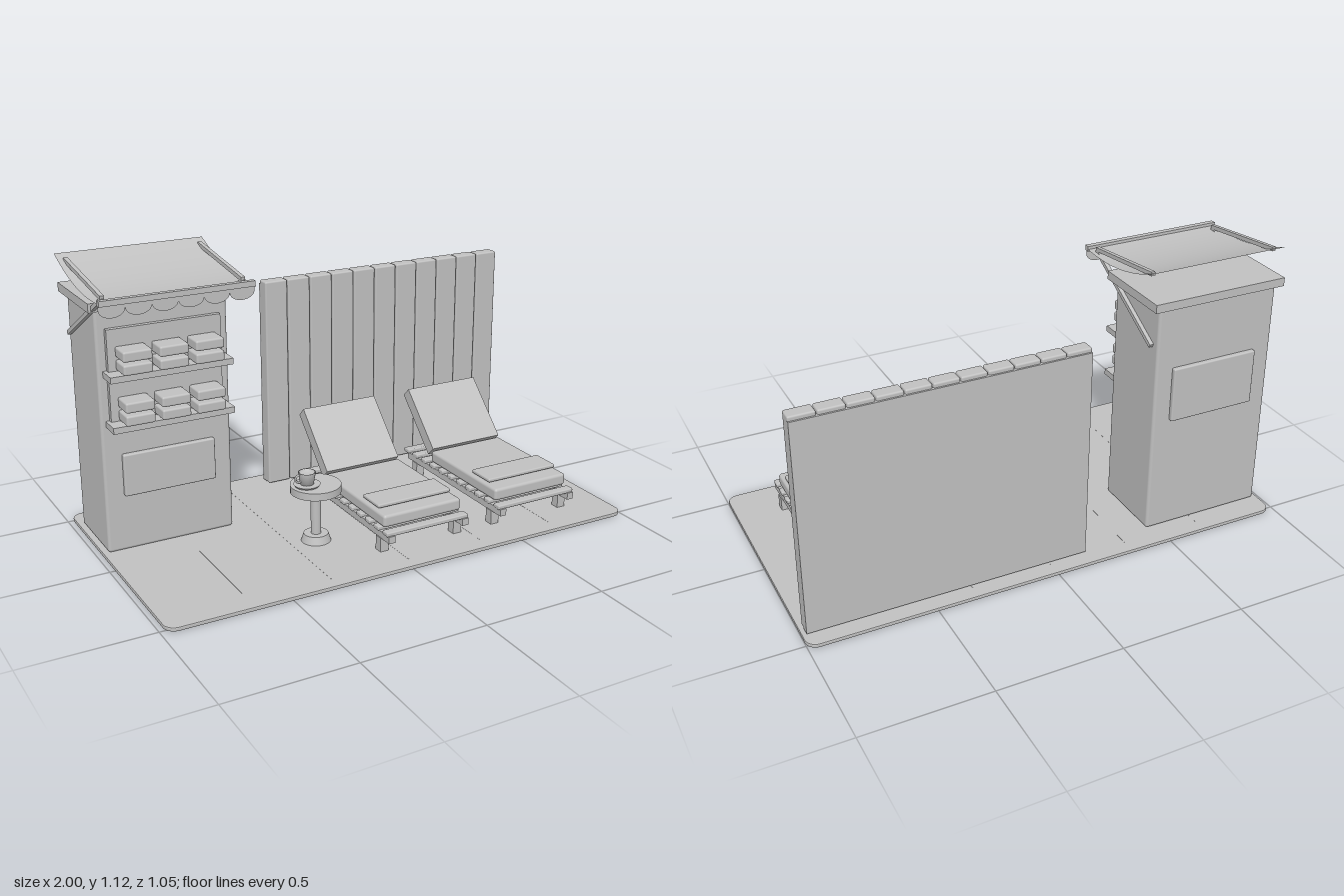
import * as THREE from 'three';
import { RoundedBoxGeometry } from 'three/addons/geometries/RoundedBoxGeometry.js';

const grey = new THREE.MeshStandardMaterial({ color: 0xc0c0c0, side: THREE.DoubleSide });
grey.name = 'plainGrey';

function add(parent, name, geometry, x = 0, y = 0, z = 0) {
  const mesh = new THREE.Mesh(geometry, grey);
  mesh.name = name;
  mesh.position.set(x, y, z);
  parent.add(mesh);
  return mesh;
}

// Box given by its extents; r > 0 rounds the edges
function box(parent, name, [x0, x1], [y0, y1], [z0, z1], r = 0) {
  const size = [x1 - x0, y1 - y0, z1 - z0];
  const geometry = r ? new RoundedBoxGeometry(...size, 2, r) : new THREE.BoxGeometry(...size);
  return add(parent, name, geometry, (x0 + x1) / 2, (y0 + y1) / 2, (z0 + z1) / 2);
}

// Square bar between two points in the plane x = const
function bar(parent, name, x, [y0, z0], [y1, z1], t) {
  const geometry = new THREE.BoxGeometry(t, t, Math.hypot(y1 - y0, z1 - z0));
  const mesh = add(parent, name, geometry, x, (y0 + y1) / 2, (z0 + z1) / 2);
  mesh.rotation.x = -Math.atan2(y1 - y0, z1 - z0);
}

function group(parent, name, x = 0, y = 0, z = 0) {
  const g = new THREE.Group();
  g.name = name;
  g.position.set(x, y, z);
  parent.add(g);
  return g;
}

function buildDeck(root) {
  const deck = group(root, 'deck');
  const x0 = -0.98, x1 = 1, z = 0.527, r = 0.045;
  const s = new THREE.Shape();
  s.absarc(x1 - r, z - r, r, 0, Math.PI / 2);
  s.absarc(x0 + r, z - r, r, Math.PI / 2, Math.PI);
  s.absarc(x0 + r, -z + r, r, Math.PI, Math.PI * 1.5);
  s.absarc(x1 - r, -z + r, r, Math.PI * 1.5, Math.PI * 2);
  const slab = new THREE.ExtrudeGeometry(s, {
    depth: 0.008, bevelThickness: 0.004, bevelSize: 0.004, bevelOffset: -0.004, bevelSegments: 2, curveSegments: 8,
  });
  slab.rotateX(-Math.PI / 2);
  add(deck, 'deckSlab', slab, 0, 0.004, 0);
  // Fine seams between the deck sections
  for (let i = -2; i <= 2; i++) {
    const x = 0.01 + i * 0.33;
    box(deck, 'deckSeam', [x - 0.002, x + 0.002], [0.014, 0.0165], [-0.47, 0.47]);
  }
}

function buildKiosk(root) {
  const kiosk = group(root, 'kiosk');
  box(kiosk, 'kioskBody', [-0.96, -0.445], [0.016, 0.975], [-0.427, -0.118], 0.012);
  box(kiosk, 'kioskRoof', [-0.988, -0.42], [0.973, 1.007], [-0.44, -0.09]);
  box(kiosk, 'frontPanel', [-0.888, -0.52], [0.243, 0.41], [-0.119, -0.095], 0.006);
  box(kiosk, 'backPanel', [-0.88, -0.515], [0.5, 0.725], [-0.447, -0.425], 0.006);

  // Shelves with stacked folded towels
  box(kiosk, 'shelfBoard', [-0.925, -0.48], [0.52, 0.9], [-0.119, -0.098]);
  for (const y of [0.741, 0.548]) {
    box(kiosk, 'shelf', [-0.94, -0.46], [y - 0.024, y], [-0.118, -0.033]);
    for (const x of [-0.84, -0.7, -0.56]) {
      for (const dy of [0.004, 0.054]) {
        box(kiosk, 'foldedTowel', [x - 0.056, x + 0.056], [y + dy, y + dy + 0.04], [-0.1, -0.01], 0.008);
      }
    }
  }

  // Sagging awning cloth
  const awning = group(kiosk, 'awning');
  const x0 = -1, x1 = -0.41;
  const cloth = new THREE.PlaneGeometry(x1 - x0, 1, 1, 16);
  const p = cloth.attributes.position;
  for (let i = 0; i < p.count; i++) {
    const t = p.getY(i) + 0.5;
    p.setXYZ(i, p.getX(i), 1.045 + 0.077 * t - 0.13 * t * (1 - t), 0.06 - 0.477 * t);
  }
  cloth.computeVertexNormals();
  add(awning, 'awningCloth', cloth, (x0 + x1) / 2, 0, 0);

  // Scalloped valance along the front edge
  const count = 6, w = (x1 - x0) / count;
  const valance = new THREE.Shape();
  valance.moveTo(x0, 1.045);
  valance.lineTo(x0, 1.02);
  for (let i = 0; i < count; i++) {
    valance.absellipse(x0 + (i + 0.5) * w, 1.02, w / 2, 0.032, Math.PI, Math.PI * 2, false);
  }
  valance.lineTo(x1, 1.045);
  add(awning, 'awningValance', new THREE.ShapeGeometry(valance, 10), 0, 0, 0.06);
  box(awning, 'awningFrontBar', [x0, x1], [1.035, 1.056], [0.049, 0.071]);
  for (const x of [-0.97, -0.436]) {
    bar(awning, 'awningArm', x, [1.053, 0.02], [1.105, -0.38], 0.016);
    bar(awning, 'awningStrut', x, [1.048, 0.02], [0.82, -0.395], 0.016);
  }
}

function buildFence(root) {
  const fence = group(root, 'fence');
  box(fence, 'fenceBacking', [-0.145, 0.985], [0.025, 0.89], [-0.467, -0.433]);
  const count = 11, pitch = 1.136 / count;
  for (let i = 0; i < count; i++) {
    const x = -0.149 + i * pitch;
    box(fence, 'fenceBoard', [x + 0.002, x + pitch - 0.002], [0.025, 0.907], [-0.46, -0.404], 0.007);
  }
}

function buildTable(root) {
  const table = group(root, 'sideTable', -0.217, 0, 0.155);
  const disc = (name, rTop, rBottom, y0, y1, x = 0) =>
    add(table, name, new THREE.CylinderGeometry(rTop, rBottom, y1 - y0, 32), x, (y0 + y1) / 2, 0);
  disc('tableFoot', 0.048, 0.058, 0.016, 0.047);
  disc('tableColumn', 0.02, 0.02, 0.04, 0.225);
  disc('tableTop', 0.099, 0.099, 0.222, 0.252);
  disc('saucer', 0.052, 0.046, 0.252, 0.26, -0.037);

  // Cup with a hollow, slightly filled inside
  const profile = [[0, 0], [0.026, 0], [0.034, 0.049], [0.03, 0.049], [0.028, 0.038], [0, 0.038]]
    .map(([r, y]) => new THREE.Vector2(r, y));
  add(table, 'cup', new THREE.LatheGeometry(profile, 24), -0.037, 0.259, 0);
  add(table, 'cupHandle', new THREE.TorusGeometry(0.015, 0.004, 8, 20), -0.071, 0.286, 0);
}

function buildLounger(root, x) {
  const lounger = group(root, 'sunLounger', x, 0, 0);
  for (const side of [-1, 1]) {
    const cx = side * 0.165;
    box(lounger, 'sideRail', [cx - 0.014, cx + 0.014], [0.072, 0.1], [-0.267, 0.427]);
    for (const z of [0.353, -0.204]) {
      box(lounger, 'leg', [cx - 0.018, cx + 0.018], [0.015, 0.074], [z - 0.018, z + 0.018]);
    }
  }
  for (let i = 0; i < 11; i++) {
    const z = 0.401 - i * 0.0674;
    box(lounger, 'slat', [-0.183, 0.183], [0.096, 0.114], [z - 0.019, z + 0.019], 0.005);
  }
  box(lounger, 'seatCushion', [-0.173, 0.173], [0.116, 0.166], [-0.092, 0.38], 0.012);
  box(lounger, 'seatTowel', [-0.163, 0.163], [0.171, 0.187], [0.2, 0.32], 0.006);
  const back = add(lounger, 'backrest', new THREE.BoxGeometry(0.337, 0.052, 0.29), 0, 0.26, -0.204);
  back.rotation.x = Math.PI / 4;
}

export function createModel() {
  const root = new THREE.Group();
  root.name = 'poolsideTerrace';
  buildDeck(root);
  buildKiosk(root);
  buildFence(root);
  buildTable(root);
  for (const x of [0.129, 0.638]) buildLounger(root, x);
  return root;
}
